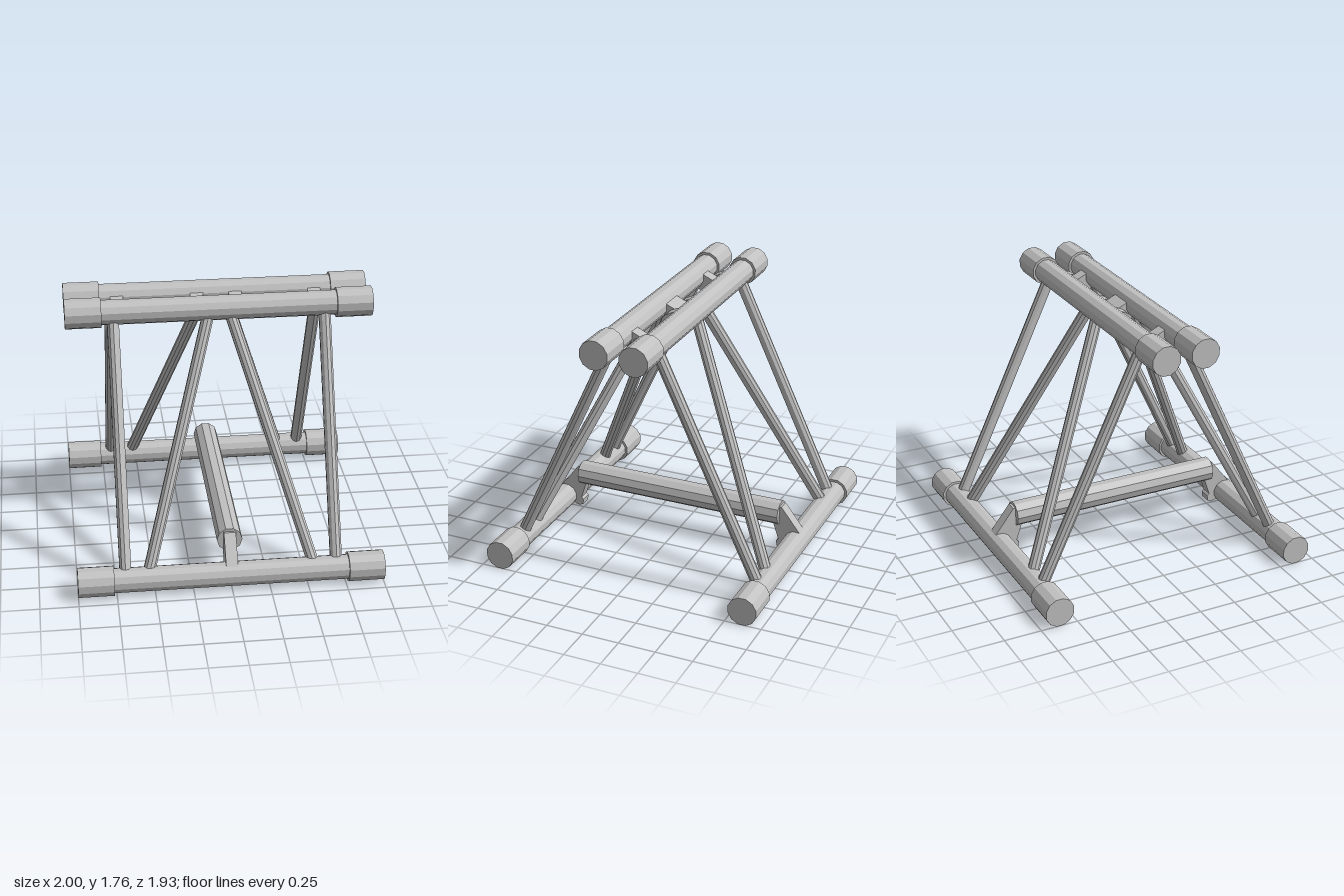
import * as THREE from 'three';

const CHORD_LOW = { y: 0.098, z: 0.868 };
const CHORD_TOP = { y: 1.667, z: 0.135 };

export function createModel() {
  const model = new THREE.Group();
  const steel = new THREE.MeshStandardMaterial({ color: 0xc0c0c0, flatShading: true });
  steel.name = 'lightSteel';

  function add(parent, name, geometry) {
    const mesh = new THREE.Mesh(geometry, steel);
    mesh.name = name;
    parent.add(mesh);
    return mesh;
  }

  // Cylinder along x with flat facets at top and bottom
  function pipeX(radius, length, sides) {
    return new THREE.CylinderGeometry(radius, radius, length, sides)
      .rotateY(Math.PI / sides).rotateZ(Math.PI / 2);
  }

  // Round bar joining two points
  function bar(parent, name, a, b, radius) {
    const dir = b.clone().sub(a);
    const mesh = add(parent, name, new THREE.CylinderGeometry(radius, radius, dir.length(), 10));
    mesh.position.copy(a).lerp(b, 0.5);
    mesh.quaternion.setFromUnitVectors(new THREE.Vector3(0, 1, 0), dir.normalize());
  }

  // Plate with a (z, y) outline, spanning x0 to x1
  function plate(parent, name, points, x0, x1) {
    const shape = new THREE.Shape(points.map(([z, y]) => new THREE.Vector2(z, y)));
    const geometry = new THREE.ExtrudeGeometry(shape, { depth: x1 - x0, bevelEnabled: false });
    geometry.rotateY(-Math.PI / 2).translate(x1, 0, 0);
    return add(parent, name, geometry);
  }

  // Long horizontal pipe with a thicker sleeve on each end
  function chord(parent, name, { y, z }) {
    const group = new THREE.Group();
    group.name = name;
    group.position.set(0, y, z);
    add(group, 'pipe', pipeX(0.082, 1.9, 12));
    for (const s of [-1, 1]) {
      add(group, 'endSleeve', pipeX(0.099, 0.235, 12)).position.x = s * 0.8825;
    }
    parent.add(group);
  }

  // Hooked bracket that holds the cross bar to the lower chord
  const bracket = [
    [0.72, 0.345], [0.765, 0.345], [0.905, 0.165], [0.868, 0.1], [0.79, 0.04], [0.765, 0.035],
    [0.737, 0.045], [0.732, 0.085], [0.747, 0.1], [0.71, 0.21],
  ];

  // Two identical side frames, turned back to back
  for (const [name, turn] of [['frontFrame', 0], ['backFrame', Math.PI]]) {
    const frame = new THREE.Group();
    frame.name = name;
    frame.rotation.y = turn;
    chord(frame, 'lowerChord', CHORD_LOW);
    chord(frame, 'upperChord', CHORD_TOP);
    for (const s of [-1, 1]) {
      for (const [part, low, top] of [['uprightStrut', 0.69, 0.69], ['diagonalStrut', 0.55, 0.06]]) {
        bar(frame, part,
          new THREE.Vector3(s * low, CHORD_LOW.y, CHORD_LOW.z),
          new THREE.Vector3(s * top, CHORD_TOP.y, CHORD_TOP.z), 0.04);
      }
    }
    plate(frame, 'crossBarBracket', bracket, -0.039, 0.039);
    model.add(frame);
  }

  // Cross bar between the two lower chords
  const cross = new THREE.CylinderGeometry(0.084, 0.084, 1.5, 10)
    .rotateY(Math.PI / 2).rotateX(Math.PI / 2);
  add(model, 'crossBar', cross).position.y = 0.285;

  // Hinge lugs: a rounded knuckle with an arm reaching one upper chord
  function lug(x0, x1, side) {
    const pivotY = 1.605, r = 0.056;
    const tilt = Math.atan2(CHORD_TOP.y - pivotY, CHORD_TOP.z);
    const outline = [];
    for (let i = 0; i <= 8; i++) {
      const a = tilt + Math.PI / 2 + (i / 8) * Math.PI;
      outline.push([r * Math.cos(a), pivotY + r * Math.sin(a)]);
    }
    const nz = r * Math.sin(tilt), ny = r * Math.cos(tilt);
    outline.push([CHORD_TOP.z + nz, CHORD_TOP.y - ny], [CHORD_TOP.z - nz, CHORD_TOP.y + ny]);
    const mesh = plate(model, 'hingeLug', outline, x0, x1);
    if (side < 0) mesh.rotation.y = Math.PI;
  }
  lug(-0.085, 0.085, 1);
  for (const s of [-1, 1]) {
    const span = (a, b, side) => (s > 0 ? lug(a, b, side) : lug(-b, -a, side));
    span(0.085, 0.17, -1);
    span(0.525, 0.61, 1);
    span(0.61, 0.695, -1);
  }

  return model;
}
